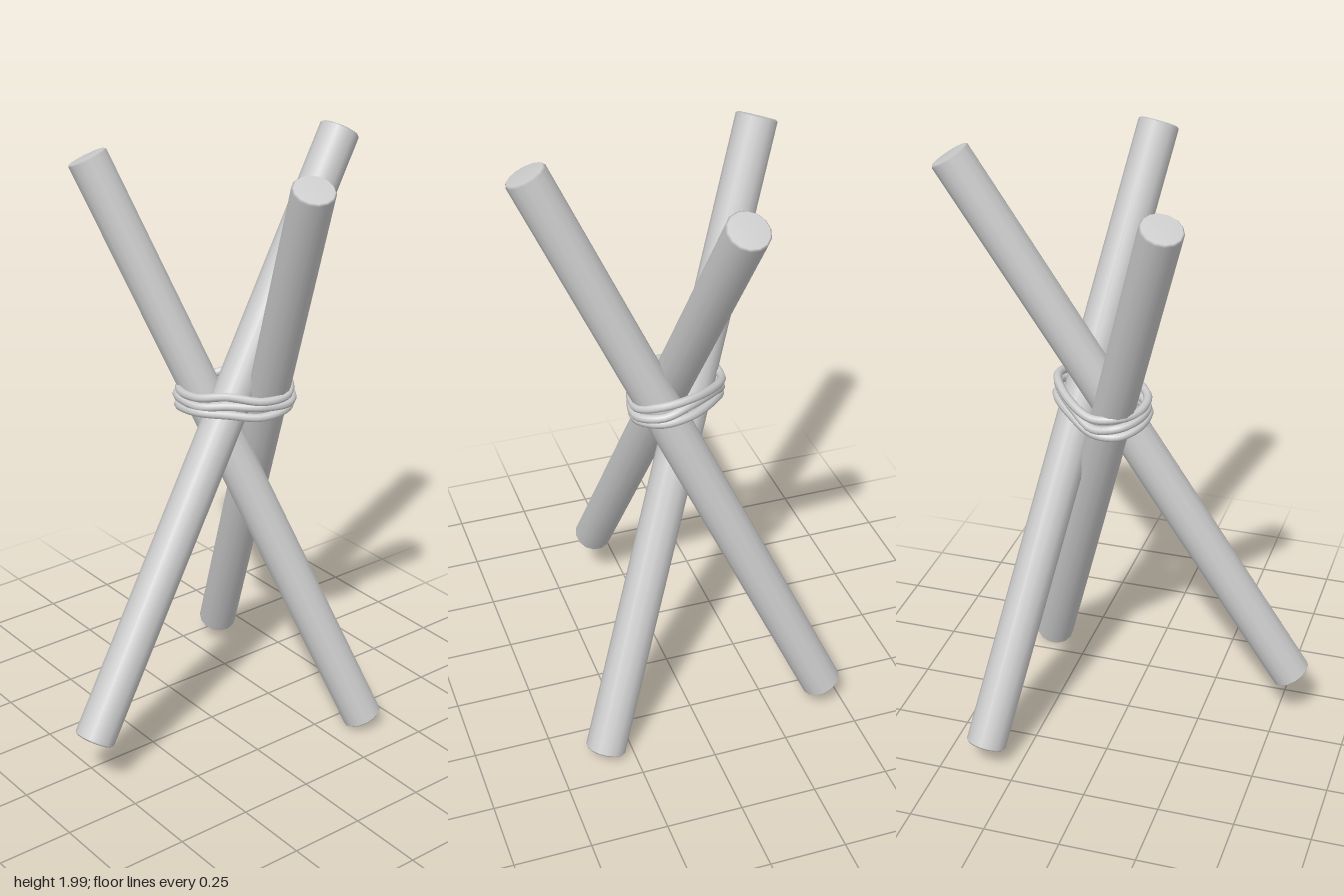
import * as THREE from 'three';

const material = new THREE.MeshStandardMaterial({ color: 0xcccccc });
const RADIUS = 0.066;

// Round pole with slightly softened ends, running from foot to tip
function makePole(name, foot, tip) {
  const a = new THREE.Vector3(...foot), b = new THREE.Vector3(...tip);
  const h = a.distanceTo(b) / 2, bevel = 0.006;
  const profile = [
    [0, -h], [RADIUS - bevel, -h], [RADIUS, -h + bevel],
    [RADIUS, h - bevel], [RADIUS - bevel, h], [0, h],
  ].map(([r, y]) => new THREE.Vector2(r, y));
  const pole = new THREE.Mesh(new THREE.LatheGeometry(profile, 14), material);
  pole.name = name;
  pole.position.addVectors(a, b).multiplyScalar(0.5);
  pole.quaternion.setFromUnitVectors(new THREE.Vector3(0, 1, 0), b.sub(a).normalize());
  return pole;
}

// Path of the lashing around the crossing: x, height offset, z
const lashingPath = [
  [-0.062, -0.01, -0.09], [-0.062, -0.005, 0.01], [0, 0, 0.08], [0.09, -0.01, 0.145],
  [0.185, -0.005, 0.155], [0.24, 0.01, 0.09], [0.235, 0.025, 0], [0.15, 0.005, -0.11],
  [0.07, -0.025, -0.155], [-0.01, -0.02, -0.15],
];

// One closed turn of rope, wavering a little from its neighbours
function makeRopeLoop(index) {
  const points = lashingPath.map(([x, dy, z], i) => {
    const waver = Math.sin(i * 1.9 + index * 2.1);
    const spread = 1 + 0.025 * Math.sin(i * 1.3 + index * 2.4);
    return new THREE.Vector3(
      0.088 + (x - 0.088) * spread,
      1.163 + index * 0.027 + dy + waver * 0.005,
      z * spread,
    );
  });
  const curve = new THREE.CatmullRomCurve3(points, true);
  const loop = new THREE.Mesh(new THREE.TubeGeometry(curve, 60, 0.014, 8, true), material);
  loop.name = `ropeLoop${index + 1}`;
  return loop;
}

export function createModel() {
  const model = new THREE.Group();
  model.name = 'lashedTripod';

  // Three crossing poles
  model.add(
    makePole('rightPole', [-0.55, 0.185, 0.1], [0.55, 1.965, -0.047]),
    makePole('frontPole', [0.385, 0.03, 0.343], [-0.207, 1.93, -0.363]),
    makePole('backPole', [0.36, 0.078, -0.435], [0.03, 1.965, 0.435]),
  );

  // Rope lashing
  const lashing = new THREE.Group();
  lashing.name = 'lashing';
  for (let i = 0; i < 3; i++) lashing.add(makeRopeLoop(i));
  model.add(lashing);

  return model;
}
